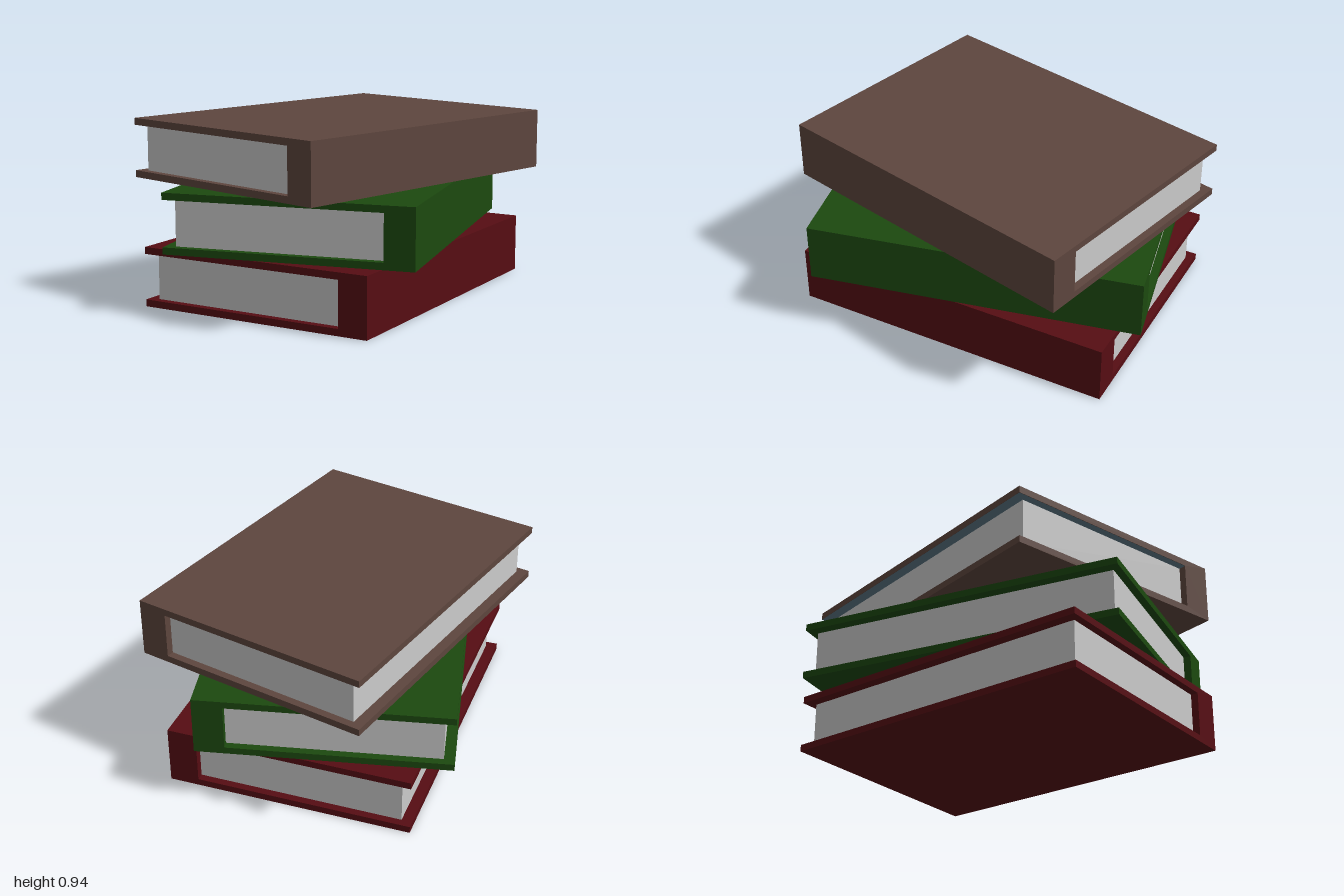
import * as THREE from 'three';

const W = 1.29, H = 0.31, D = 1.74;   // outer size of a book
const BOARD = 0.036, SPINE = 0.155;   // cover and spine thickness
const INSET = 0.055, PAGE_D = 1.66;   // page block set back from the cover edges

// One book: C-shaped cover with its spine on +x, and a page block inside
function makeBook(name, color, y, angle, liningColor) {
  const book = new THREE.Group();
  book.name = name;
  const x0 = -W / 2, x1 = W / 2, xs = x1 - SPINE;

  // Cover boards and spine, extruded along the depth
  const outline = new THREE.Shape([
    [x0, 0], [x1, 0], [x1, H], [x0, H],
    [x0, H - BOARD], [xs, H - BOARD], [xs, BOARD], [x0, BOARD],
  ].map(([x, h]) => new THREE.Vector2(x, h)));
  const coverGeo = new THREE.ExtrudeGeometry(outline, { depth: D, bevelEnabled: false });
  coverGeo.translate(0, 0, -D / 2);
  const cover = new THREE.Mesh(coverGeo, new THREE.MeshStandardMaterial({ color }));
  cover.name = 'cover';
  book.add(cover);

  // Page block
  const pageW = xs - x0 - INSET;
  const pages = new THREE.Mesh(
    new THREE.BoxGeometry(pageW, H - 2 * BOARD, PAGE_D),
    new THREE.MeshStandardMaterial({ color: 0xcccccc }));
  pages.name = 'pages';
  pages.position.set(xs - pageW / 2, H / 2, 0);
  book.add(pages);

  // Coloured lining under the upper board
  if (liningColor !== undefined) {
    const lining = new THREE.Mesh(
      new THREE.PlaneGeometry(xs - x0, D).rotateX(Math.PI / 2),
      new THREE.MeshStandardMaterial({ color: liningColor }));
    lining.name = 'endpaper';
    lining.position.set((x0 + xs) / 2, H - BOARD - 0.002, 0);
    book.add(lining);
  }

  book.position.y = y;
  book.rotation.y = angle;
  return book;
}

export function createModel() {
  const model = new THREE.Group();
  model.name = 'bookStack';
  model.add(
    makeBook('bottomBook', 0x560d13, 0, 0),
    makeBook('middleBook', 0x1c490f, 0.315, 0.215),
    makeBook('topBook', 0x5e463e, 0.63, -0.239, 0x607d8b));
  return model;
}
